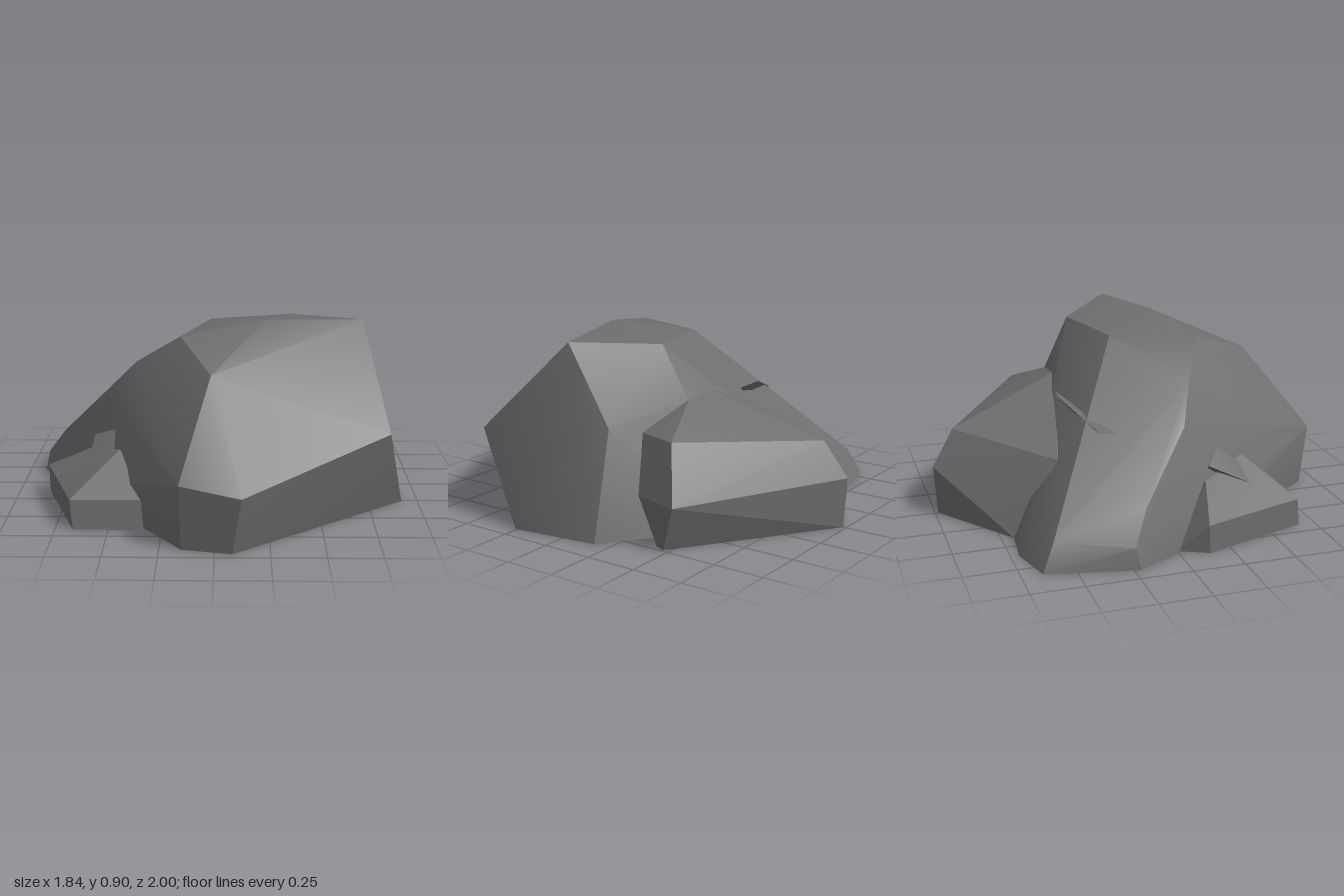
import * as THREE from 'three';
import { ConvexGeometry } from 'three/addons/geometries/ConvexGeometry.js';
import { toCreasedNormals } from 'three/addons/utils/BufferGeometryUtils.js';

const stone = new THREE.MeshStandardMaterial({ color: 0x6e6e6e });
stone.name = 'stone grey';

// A faceted stone spanned by its corner points; shallow edges are smoothed
function rock(name, corners, crease) {
  const hull = new ConvexGeometry(corners.map((c) => new THREE.Vector3(...c)));
  const mesh = new THREE.Mesh(toCreasedNormals(hull, crease), stone);
  mesh.name = name;
  return mesh;
}

export function createModel() {
  const group = new THREE.Group();
  group.name = 'rockCluster';

  // Large boulder, sloping down to the right and back
  group.add(rock('mainBoulder', [
    // front cliff and its foot
    [0.12, 0.27, 1.0], [0.08, 0, 0.96], [-0.16, 0.31, 0.94], [-0.15, 0, 0.91],
    [-0.02, 0.73, 0.62], [0.82, 0.43, 0.54],
    // crown
    [-0.17, 0.845, 0.31], [0.24, 0.905, 0.2], [0.72, 0.885, 0.08],
    [0.385, 0.855, -0.21], [-0.03, 0.85, -0.1],
    // left flank and back
    [0.87, 0.31, 0.2], [0.92, 0, 0.26], [0.725, 0.51, -0.155], [0.86, 0, -0.17],
    [0.36, 0.6, -0.34], [0.36, 0, -0.55],
    // long rounded slope
    [-0.39, 0.695, 0.19], [-0.55, 0.52, 0.11], [-0.8, 0.24, -0.16],
    [-0.9, 0.1, -0.24], [-0.92, 0, -0.22], [-0.81, 0, -0.02],
    [-0.79, 0.13, -0.59], [-0.83, 0, -0.65], [-0.61, 0, -0.71], [-0.41, 0, -0.69],
  ], 0.5));

  // Lower slab behind
  group.add(rock('backRock', [
    [0, 0, -0.985], [0, 0.245, -1], [0.04, 0.42, -0.89],
    [0.775, 0.22, -0.545], [0.655, 0.48, -0.455], [0.595, 0.48, -0.25],
    [0.71, 0.22, -0.31], [0.72, 0, -0.42], [0.74, 0, -0.47],
    [0.2, 0.64, -0.285], [0.355, 0.6, -0.34], [-0.03, 0.54, -0.385],
    [-0.41, 0.37, -0.47], [-0.41, 0, -0.69], [0.3, 0, -0.2],
  ], 0.3));

  // Small stone leaning on the right side
  group.add(rock('sideRock', [
    [-0.85, 0.14, 0.13], [-0.845, 0, 0.14], [-0.68, 0.14, 0.65], [-0.665, 0, 0.67],
    [-0.345, 0.14, 0.65], [-0.34, 0, 0.67], [-0.46, 0.32, 0.44],
    [-0.61, 0.26, 0.2], [-0.78, 0, 0], [-0.3, 0, 0.1],
  ], 0.3));

  // Chips caught in the gaps
  group.add(rock('slopeChip', [
    [-0.03, 0.59, -0.385], [-0.16, 0.6, -0.4], [-0.49, 0.5, -0.21],
    [-0.47, 0.5, -0.28], [-0.28, 0.46, -0.24], [-0.2, 0.5, -0.32],
  ], 0.3));
  group.add(rock('sideChip', [
    [-0.62, 0.23, 0.42], [-0.6, 0.33, 0.22], [-0.49, 0.38, 0.3],
    [-0.5, 0.3, 0.41], [-0.48, 0.25, 0.25],
  ], 0.3));

  return group;
}
